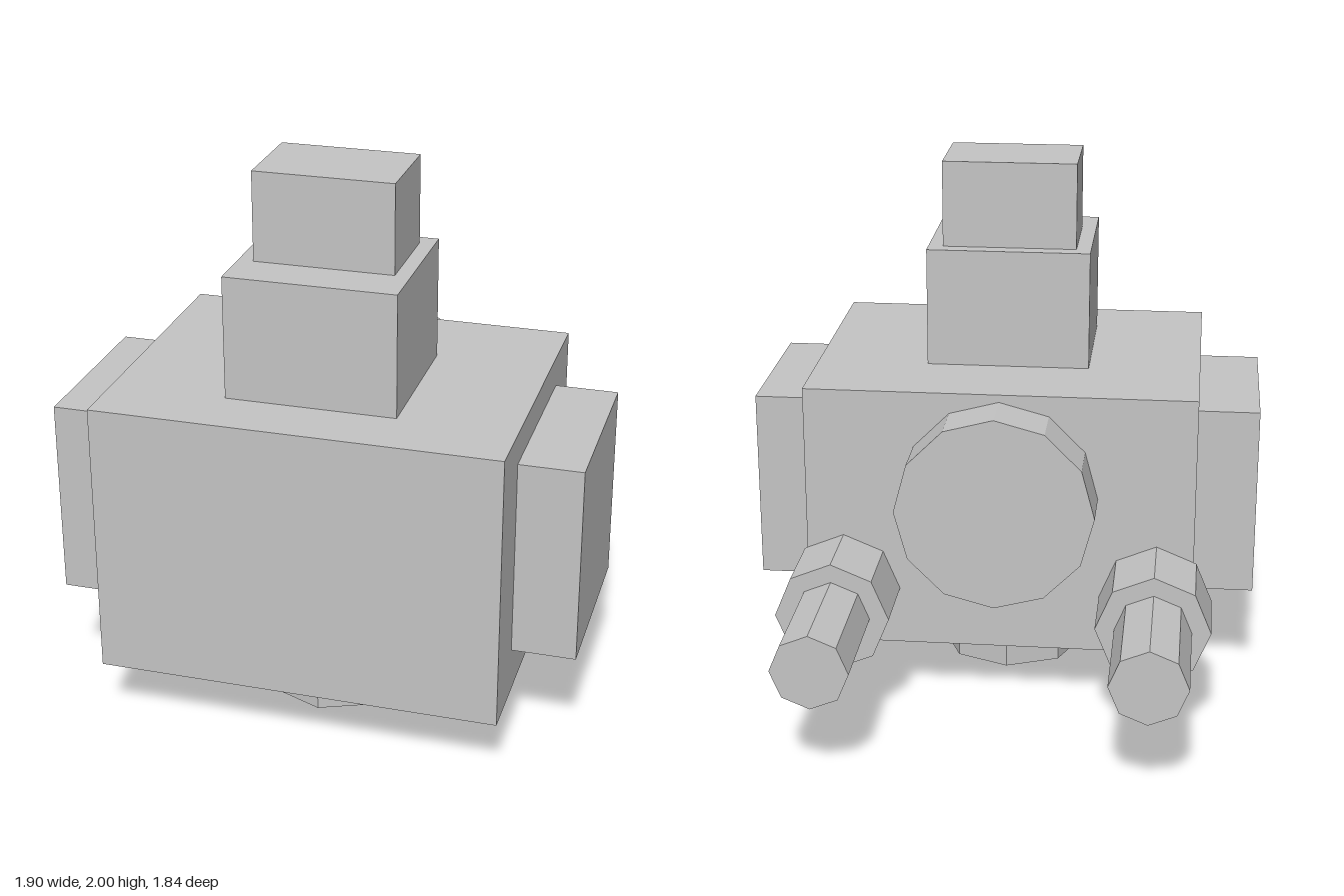
import * as THREE from 'three';

export function createModel() {
  const model = new THREE.Group();
  const grey = new THREE.MeshStandardMaterial({ color: 0xc4c4c4, flatShading: true });
  grey.name = 'light grey';

  const add = (name, geometry, x, y, z) => {
    const mesh = new THREE.Mesh(geometry, grey);
    mesh.name = name;
    mesh.position.set(x, y, z);
    model.add(mesh);
  };

  // box given by its limits on each axis
  const box = (name, [x0, x1], [y0, y1], [z0, z1]) =>
    add(name, new THREE.BoxGeometry(x1 - x0, y1 - y0, z1 - z0),
      (x0 + x1) / 2, (y0 + y1) / 2, (z0 + z1) / 2);

  // prism lying along z, with corners at the top, bottom and sides
  const rearPrism = (name, radius, sides, x, y, z0, z1) =>
    add(name, new THREE.CylinderGeometry(radius, radius, z1 - z0, sides).rotateX(Math.PI / 2),
      x, y, (z0 + z1) / 2);

  // main block and stepped head
  box('body', [-0.723, 0.723], [0.228, 1.233], [-0.195, 0.92]);
  box('neck', [-0.305, 0.305], [1.233, 1.678], [0.14, 0.7]);
  box('cap', [-0.25, 0.25], [1.678, 2], [0.197, 0.53]);

  // octagonal foot
  add('foot', new THREE.CylinderGeometry(0.28, 0.28, 0.228, 8), 0, 0.114, 0.37);

  // round plate on the back
  rearPrism('backPlate', 0.365, 12, 0, 0.84, -0.39, -0.195);

  // side panels and stepped rear pipes
  for (const [side, s] of [['left', 1], ['right', -1]]) {
    box(side + 'Panel', s > 0 ? [0.723, 0.95] : [-0.95, -0.723], [0.398, 1.118], [0.03, 0.7]);
    rearPrism(side + 'PipeCollar', 0.21, 8, s * 0.585, 0.45, -0.475, -0.195);
    rearPrism(side + 'Pipe', 0.14, 8, s * 0.585, 0.45, -0.92, -0.475);
  }
  return model;
}
